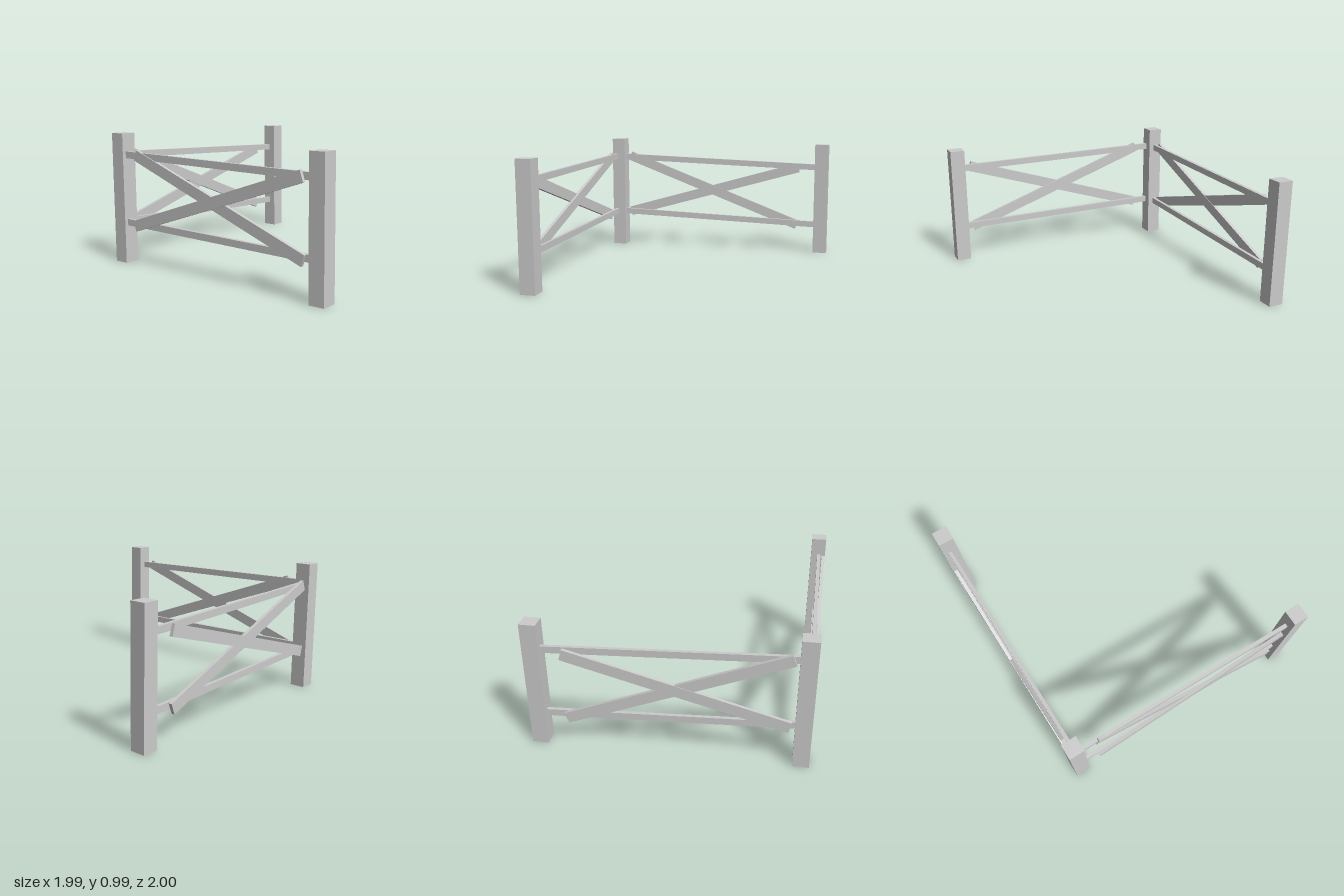
import * as THREE from 'three';

const material = new THREE.MeshStandardMaterial({ color: 0xcccccc, side: THREE.DoubleSide, flatShading: true });

// Square post standing on the ground, open underneath
function post(name, x, z, height) {
  const geometry = new THREE.BoxGeometry(0.116, height, 0.116);
  const index = Array.from(geometry.index.array);
  index.splice(18, 6); // drop the bottom face
  geometry.setIndex(index);
  geometry.clearGroups();
  const mesh = new THREE.Mesh(geometry, material);
  mesh.name = name;
  mesh.position.set(x, height / 2, z);
  return mesh;
}

// Straight board between two points, its wide face kept vertical
function board(name, from, to, width, thickness) {
  const a = new THREE.Vector3(...from);
  const b = new THREE.Vector3(...to);
  const along = b.clone().sub(a);
  const length = along.length();
  along.normalize();
  const out = along.clone().cross(new THREE.Vector3(0, 1, 0)).normalize();
  const up = out.clone().cross(along);
  const mesh = new THREE.Mesh(new THREE.BoxGeometry(length, width, thickness), material);
  mesh.name = name;
  mesh.quaternion.setFromRotationMatrix(new THREE.Matrix4().makeBasis(along, up, out));
  mesh.position.copy(a).add(b).multiplyScalar(0.5);
  return mesh;
}

export function createModel() {
  const model = new THREE.Group();
  model.name = 'cornerFence';

  model.add(
    post('cornerPost', -0.909, 0.913, 0.985),
    post('frontEndPost', 0.932, 0.942, 0.955),
    post('backEndPost', -0.938, -0.942, 0.955),
  );

  // Front section: two rails and crossed braces on the outside
  const front = new THREE.Group();
  front.name = 'frontSection';
  for (const [name, y] of [['upperRail', 0.825], ['lowerRail', 0.312]]) {
    front.add(board(name, [-0.87, y, 0.93], [0.9, y - 0.031, 0.949], 0.05, 0.027));
  }
  front.add(
    board('fallingBrace', [-0.74, 0.827, 0.938], [0.815, 0.266, 0.97], 0.082, 0.025),
    board('risingBrace', [-0.743, 0.296, 0.957], [0.815, 0.797, 0.984], 0.082, 0.025),
  );

  // Side section: the same arrangement running back
  const side = new THREE.Group();
  side.name = 'sideSection';
  for (const [name, y] of [['upperRail', 0.821], ['lowerRail', 0.309]]) {
    side.add(board(name, [-0.907, y, 0.88], [-0.948, y - 0.067, -0.91], 0.05, 0.027));
  }
  side.add(
    board('fallingBrace', [-0.934, 0.826, 0.822], [-0.976, 0.229, -0.73], 0.082, 0.025),
    board('risingBrace', [-0.938, 0.303, 0.822], [-0.98, 0.745, -0.735], 0.082, 0.025),
  );

  model.add(front, side);
  return model;
}
